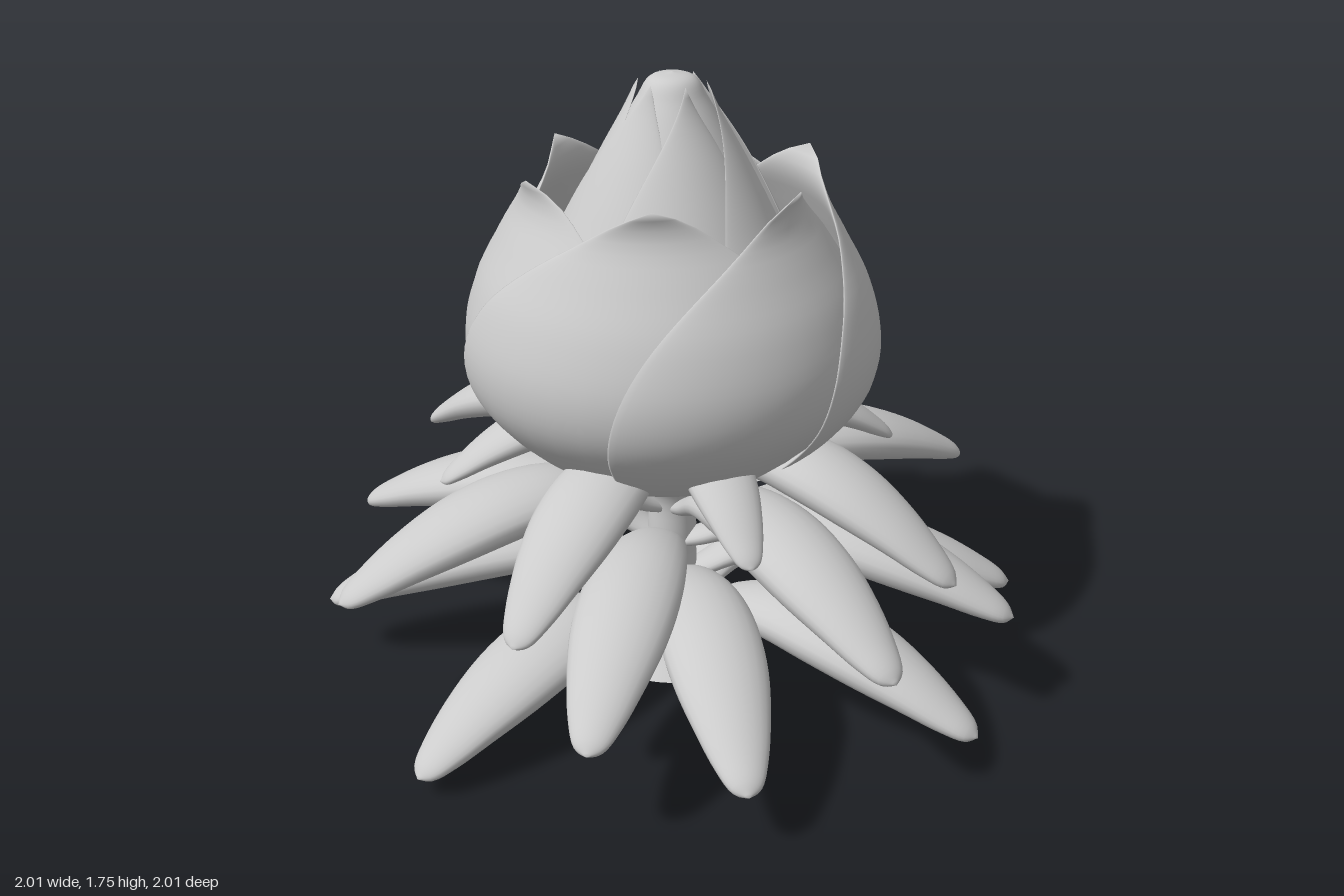
import * as THREE from 'three';
import { mergeVertices } from 'three/addons/utils/BufferGeometryUtils.js';

const material = new THREE.MeshStandardMaterial({ color: 0xcccccc, side: THREE.DoubleSide });
const rad = THREE.MathUtils.degToRad;
const curve = (pts) => new THREE.CatmullRomCurve3(pts.map(([a, b, c = 0]) => new THREE.Vector3(a, b, c)));

// Smooth surface from a rule: f(s, t) -> [x, y, z], s and t in 0..1
function surface(f, ns, nt) {
  const pos = [], index = [];
  for (let i = 0; i <= ns; i++)
    for (let j = 0; j <= nt; j++) pos.push(...f(i / ns, j / nt));
  for (let i = 0; i < ns; i++)
    for (let j = 0; j < nt; j++) {
      const a = i * (nt + 1) + j, b = a + nt + 1;
      index.push(a, b, a + 1, b, b + 1, a + 1);
    }
  let geo = new THREE.BufferGeometry();
  geo.setAttribute('position', new THREE.Float32BufferAttribute(pos, 3));
  geo.setIndex(index);
  geo = mergeVertices(geo, 1e-5);
  geo.computeVertexNormals();
  return geo;
}

function add(parent, name, geo) {
  const mesh = new THREE.Mesh(geo, material);
  mesh.name = name;
  parent.add(mesh);
}

// Midrib of a leaf: reach, height above the tip, half width
const midrib = curve([
  [0.04, 0.07, 0.04], [0.1, 0.1, 0.055], [0.2, 0.16, 0.083], [0.36, 0.192, 0.118], [0.52, 0.18, 0.135],
  [0.67, 0.145, 0.128], [0.81, 0.095, 0.101], [0.92, 0.044, 0.069], [0.98, 0.014, 0.04], [1.005, 0, 0],
]);

// Fleshy arched leaf with a full belly underneath
function leafGeometry(angle, tipY, reach, width, rise) {
  const c = Math.cos(rad(angle)), s = Math.sin(rad(angle));
  return surface((t, q) => {
    const p = midrib.getPoint(t);
    const a = q * Math.PI * 2 - Math.PI / 2;
    const w = p.z * width, side = w * Math.cos(a);
    const lift = w * ((Math.sin(a) > 0 ? 0.5 : 0.65) * Math.sin(a) - 0.08 * Math.cos(a) ** 2);
    const r = p.x * reach;
    return [r * c - side * s, tipY + p.y * rise + lift, r * s + side * c];
  }, 36, 24);
}

// Thick wrapped petal on a profile of revolution; one edge stands outside its neighbour
function petalGeometry(profile, centre, halfAngle, overlap, thickness, twist) {
  return surface((v, q) => {
    const p = profile.getPointAt(v);
    const u = -Math.cos(q * Math.PI * 2);
    const spread = Math.max(0, 1 - v ** 5);
    const a = rad(centre + halfAngle * spread * u + twist * (1 - v));
    const grow = Math.min(1, v * 4) * Math.sqrt(spread);
    const r = p.x + grow * (overlap * u + thickness * Math.sin(q * Math.PI * 2));
    return [r * Math.cos(a), p.y, r * Math.sin(a)];
  }, 40, 48);
}

function lathe(points) {
  const pts = curve(points).getPoints(40).map((p) => new THREE.Vector2(Math.max(0, p.x), p.y));
  return new THREE.LatheGeometry(pts, 48);
}

export function createModel() {
  const model = new THREE.Group();
  model.name = 'lotusFlower';

  // Stem with a flared, open foot
  add(model, 'stem', lathe([
    [0.22, 0], [0.165, 0.05], [0.13, 0.1], [0.095, 0.15], [0.075, 0.24],
    [0.07, 0.4], [0.075, 0.52], [0.13, 0.6], [0.2, 0.65],
  ]));

  // Tiers of leaves: two angles, tip height, reach, width, rise; each leaf has an opposite twin
  const tiers = [
    [-41.5, 41.5, 0.06, 1, 1, 1],
    [4, 86, 0.18, 1, 1, 1],
    [27, 109, 0.3, 1, 1, 1],
    [-20, 63, 0.41, 1, 1, 1.05],
    [41, 123, 0.5, 0.9, 0.95, 1.25],
    [79, 174, 0.62, 0.66, 0.72, 0.95],
  ];
  const leaves = new THREE.Group();
  leaves.name = 'leaves';
  model.add(leaves);
  tiers.forEach(([a, b, ...shape]) => {
    for (const angle of [a, b, a + 180, b + 180]) add(leaves, 'leaf', leafGeometry(angle, ...shape));
  });

  // Outer cup of six overlapping petals
  const cup = curve([
    [0.03, 0.57], [0.14, 0.6], [0.29, 0.67], [0.435, 0.79], [0.52, 0.91], [0.54, 1.03],
    [0.505, 1.18], [0.44, 1.31], [0.39, 1.41], [0.385, 1.46], [0.41, 1.505],
  ]);
  const outer = new THREE.Group();
  outer.name = 'outerPetals';
  model.add(outer);
  for (let i = 0; i < 6; i++) add(outer, 'outerPetal', petalGeometry(cup, 44 + i * 60, 72, 0.042, 0.02, 0));

  // Closed inner bud: core and tightly wound petals
  add(model, 'budCore', lathe([
    [0.2, 0.75], [0.38, 0.95], [0.35, 1.15], [0.25, 1.4], [0.17, 1.55], [0.095, 1.68], [0.06, 1.735], [0, 1.75],
  ]));
  const cone = curve([
    [0.25, 0.78], [0.4, 0.95], [0.37, 1.15], [0.265, 1.38], [0.195, 1.52], [0.115, 1.67], [0.09, 1.73],
  ]);
  const inner = new THREE.Group();
  inner.name = 'innerPetals';
  model.add(inner);
  for (let i = 0; i < 6; i++) add(inner, 'innerPetal', petalGeometry(cone, 15 + i * 60, 55, 0.016, 0.008, 10));

  return model;
}
